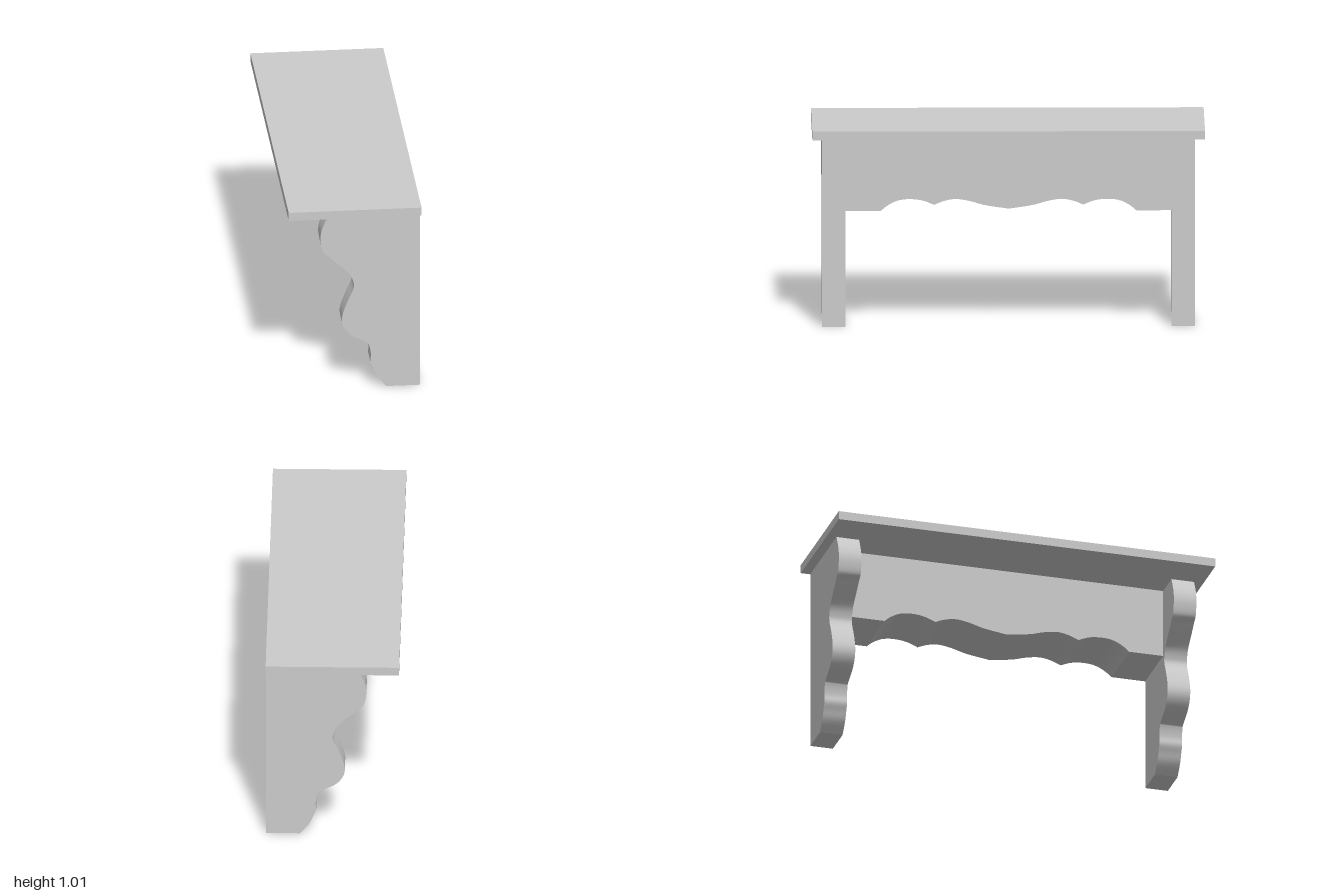
import * as THREE from 'three';
import { toCreasedNormals } from 'three/addons/utils/BufferGeometryUtils.js';

const material = new THREE.MeshStandardMaterial({ color: 0xcccccc });
const vectors = (pts) => pts.map(([x, y]) => new THREE.Vector2(x, y));

// Extrude a flat outline, keeping curved edges smooth and corners crisp
function board(shape, depth) {
  const geometry = new THREE.ExtrudeGeometry(shape, { depth, bevelEnabled: false, curveSegments: 3 });
  return toCreasedNormals(geometry, 0.5);
}

function part(name, geometry, x, y, z) {
  const mesh = new THREE.Mesh(geometry, material);
  mesh.name = name;
  mesh.position.set(x, y, z);
  return mesh;
}

export function createModel() {
  const group = new THREE.Group();
  group.name = 'bench';

  // Flat top board
  group.add(part('top', new THREE.BoxGeometry(0.68, 0.045, 2), 0, 0.9875, 0));

  // Scrolled end legs: straight on +x, wavy on -x
  const wave = [
    [0.165, 0], [0.12, 0.055], [0.1, 0.1], [0.083, 0.14], [0.086, 0.18], [0.077, 0.23],
    [0.063, 0.25], [-0.015, 0.29], [-0.052, 0.335], [-0.063, 0.38], [-0.053, 0.43],
    [-0.03, 0.49], [-0.003, 0.55], [-0.003, 0.585], [-0.028, 0.64], [-0.1, 0.705],
    [-0.13, 0.735], [-0.157, 0.757], [-0.17, 0.805], [-0.172, 0.85], [-0.16, 0.9], [-0.13, 0.965],
  ];
  const legShape = new THREE.Shape();
  legShape.moveTo(0.338, 0.965);
  legShape.lineTo(0.338, 0);
  legShape.lineTo(...wave[0]);
  legShape.splineThru(vectors(wave.slice(1)));
  const legGeometry = board(legShape, 0.12);
  group.add(part('leftLeg', legGeometry, 0, 0, 0.83));
  group.add(part('rightLeg', legGeometry, 0, 0, -0.95));

  // Deep apron between the legs with a scalloped underside
  const outer = [[0.65, 0.6], [0.62, 0.625], [0.57, 0.651], [0.51, 0.66], [0.44, 0.653], [0.38, 0.63]];
  const inner = [[0.38, 0.63], [0.33, 0.65], [0.27, 0.66], [0.2, 0.65], [0.12, 0.628], [0, 0.61]];
  const mirror = (pts) => pts.map(([x, y]) => [-x, y]).reverse();
  const apronShape = new THREE.Shape();
  apronShape.moveTo(0.86, 0.965);
  apronShape.lineTo(0.86, 0.6);
  apronShape.lineTo(0.65, 0.6);
  for (const scallop of [outer, inner, mirror(inner), mirror(outer)]) {
    apronShape.splineThru(vectors(scallop.slice(1)));
  }
  apronShape.lineTo(-0.86, 0.6);
  apronShape.lineTo(-0.86, 0.965);
  const apron = part('apron', board(apronShape, 0.319), 0.02, 0, 0);
  apron.rotation.y = Math.PI / 2;
  group.add(apron);

  return group;
}
